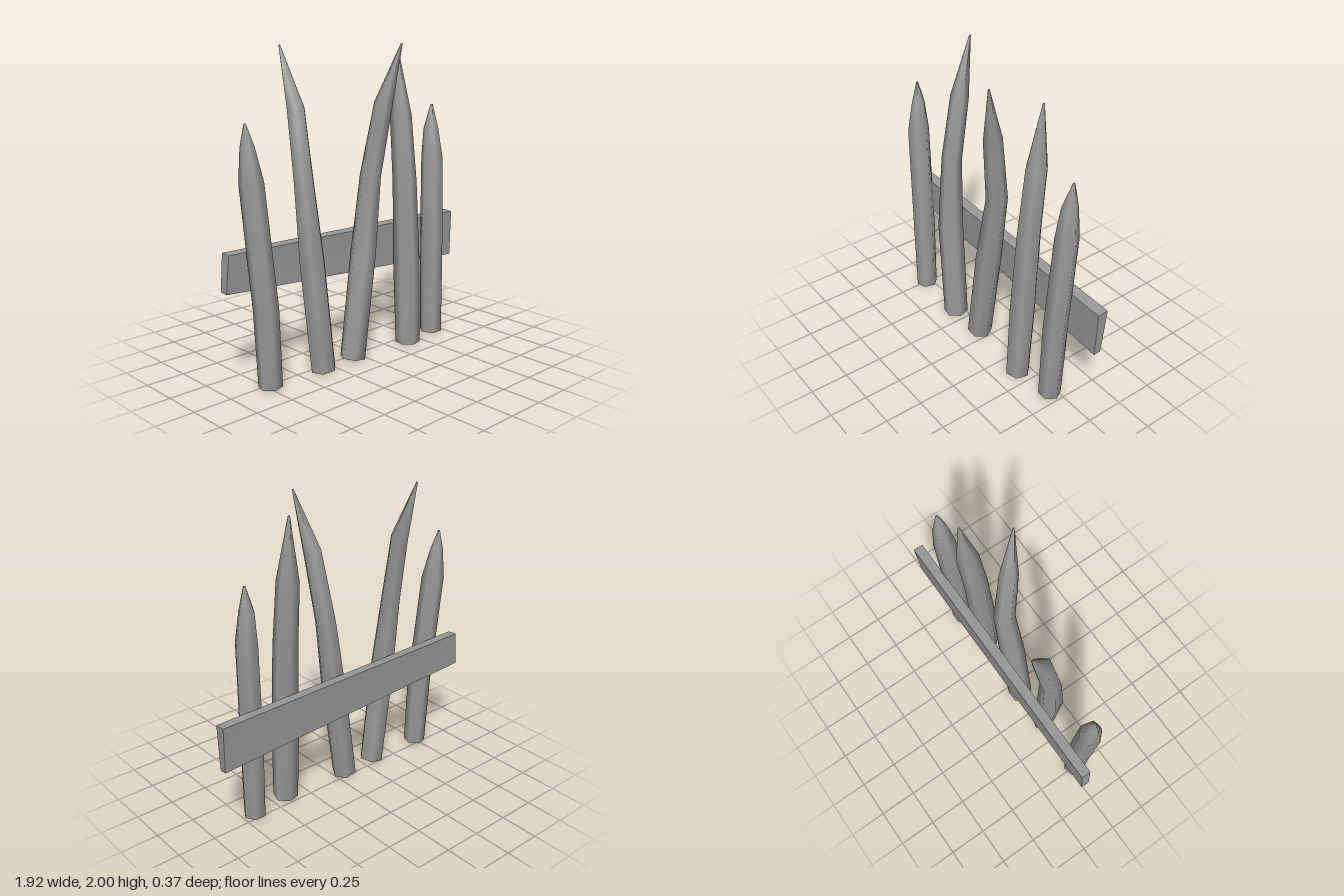
import * as THREE from 'three';
import { toCreasedNormals } from 'three/addons/utils/BufferGeometryUtils.js';

const SIDES = 6;

// Hexagonal stake lofted through rings [x, y, z, radius]; rings lean with the path
function stakeGeometry(rings, phaseDegrees) {
  const phase = THREE.MathUtils.degToRad(phaseDegrees);
  const positions = [];
  const index = [];
  rings.forEach(([x, y, z, r], i) => {
    const a = rings[Math.max(i - 1, 0)];
    const b = rings[Math.min(i + 1, rings.length - 1)];
    const leanX = (b[0] - a[0]) / (b[1] - a[1]);
    const leanZ = (b[2] - a[2]) / (b[1] - a[1]);
    for (let j = 0; j < SIDES; j++) {
      const t = phase + (j / SIDES) * Math.PI * 2;
      const dx = Math.cos(t) * r;
      const dz = Math.sin(t) * r;
      positions.push(x + dx, y - leanX * dx - leanZ * dz, z + dz);
    }
  });
  for (let i = 0; i < rings.length - 1; i++) {
    for (let j = 0; j < SIDES; j++) {
      const a = i * SIDES + j;
      const b = i * SIDES + ((j + 1) % SIDES);
      index.push(a, a + SIDES, b, b, a + SIDES, b + SIDES);
    }
  }
  // End caps
  const top = (rings.length - 1) * SIDES;
  for (let j = 1; j < SIDES - 1; j++) {
    index.push(0, j, j + 1, top, top + j + 1, top + j);
  }
  const geometry = new THREE.BufferGeometry();
  geometry.setAttribute('position', new THREE.Float32BufferAttribute(positions, 3));
  geometry.setIndex(index);
  return toCreasedNormals(geometry, THREE.MathUtils.degToRad(66));
}

// Stakes from the model's right to its left
const STAKES = [
  { phase: 45, rings: [
    [-0.74, 0.016, 0.04, 0.073], [-0.755, 0.5, 0.03, 0.077], [-0.815, 1.25, 0, 0.073],
    [-0.826, 1.45, -0.015, 0.043], [-0.835, 1.585, -0.02, 0.006]] },
  { phase: 12, rings: [
    [-0.34, 0.018, 0.06, 0.082], [-0.405, 0.7, 0.04, 0.084], [-0.43, 1.2, 0.0, 0.066],
    [-0.426, 1.63, -0.07, 0.058], [-0.455, 2.0, -0.178, 0.005]] },
  { phase: 0, rings: [
    [-0.078, 0.017, 0.045, 0.082], [0.02, 0.7, 0.04, 0.083], [0.09, 1.18, 0.03, 0.068],
    [0.136, 1.63, 0.095, 0.058], [0.208, 2.0, 0.178, 0.005]] },
  { phase: 45, rings: [
    [0.393, 0.012, 0.085, 0.081], [0.398, 0.55, 0.06, 0.087], [0.403, 1.1, 0.03, 0.078],
    [0.404, 1.53, -0.012, 0.07], [0.408, 1.93, -0.045, 0.006]] },
  { phase: 0, rings: [
    [0.668, 0.012, 0.045, 0.073], [0.676, 0.55, 0.03, 0.078], [0.7, 1.22, 0, 0.073],
    [0.698, 1.42, -0.012, 0.05], [0.71, 1.58, -0.02, 0.007]] },
];

// Crooked plank: a box whose corners are moved to an uneven outline
function plankGeometry() {
  const corner = {
    '-1,1,1': [-0.945, 0.84, -0.055], '-1,1,-1': [-0.945, 0.845, -0.12],
    '-1,-1,1': [-0.965, 0.61, -0.06], '-1,-1,-1': [-0.965, 0.615, -0.115],
    '1,1,1': [0.96, 0.8, -0.04], '1,1,-1': [0.96, 0.805, -0.11],
    '1,-1,1': [0.95, 0.49, -0.04], '1,-1,-1': [0.95, 0.495, -0.088],
  };
  const geometry = new THREE.BoxGeometry(2, 2, 2);
  const p = geometry.attributes.position;
  for (let i = 0; i < p.count; i++) {
    p.setXYZ(i, ...corner[[p.getX(i), p.getY(i), p.getZ(i)].join(',')]);
  }
  geometry.computeVertexNormals();
  return geometry;
}

export function createModel() {
  const group = new THREE.Group();
  group.name = 'stakeFence';
  const wood = new THREE.MeshStandardMaterial({ color: 0x999999 });
  wood.name = 'greyWood';

  STAKES.forEach(({ rings, phase }, i) => {
    const stake = new THREE.Mesh(stakeGeometry(rings, phase), wood);
    stake.name = `stake${i + 1}`;
    group.add(stake);
  });

  const plank = new THREE.Mesh(plankGeometry(), wood);
  plank.name = 'crossPlank';
  group.add(plank);
  return group;
}
